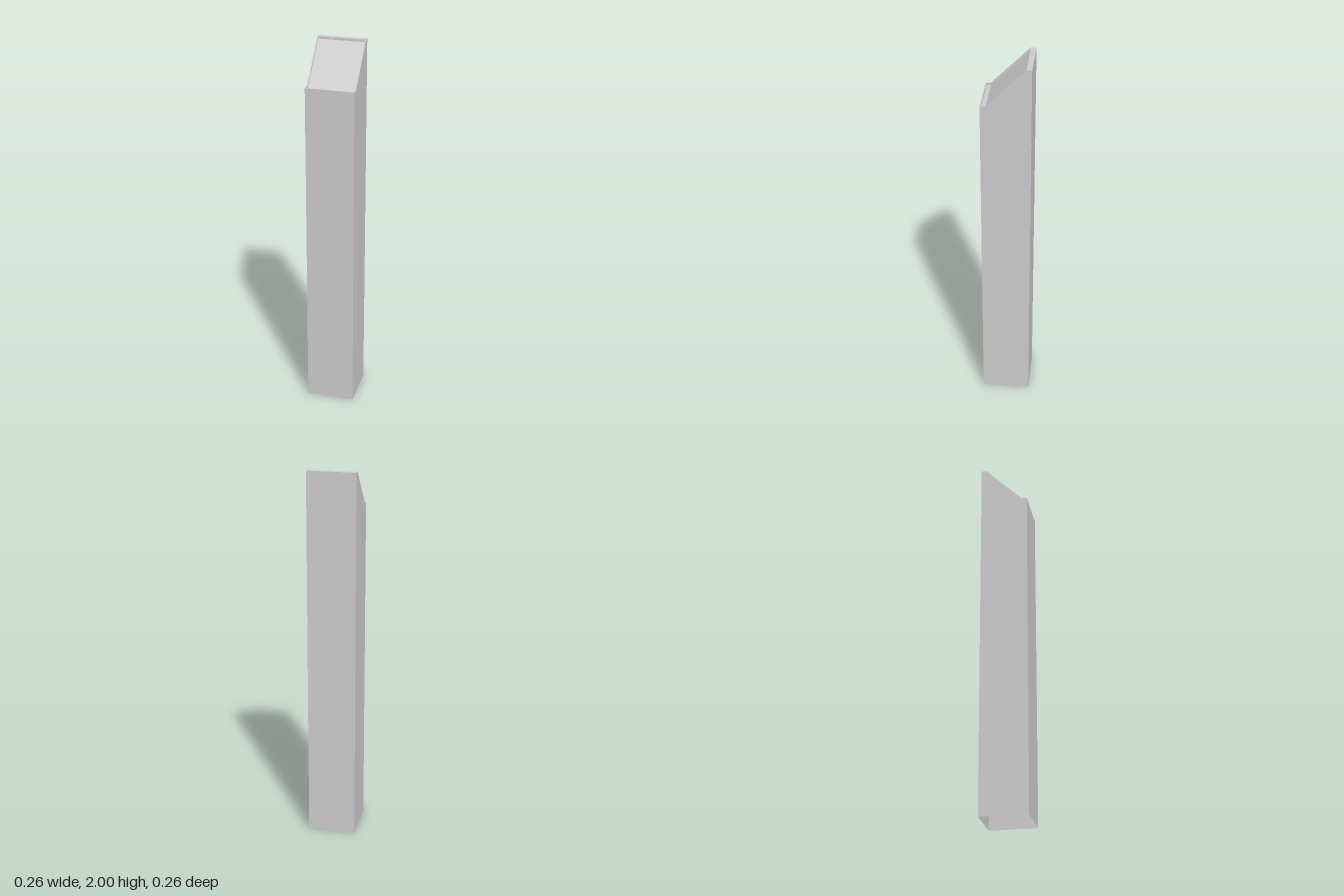
import * as THREE from 'three';

const material = new THREE.MeshStandardMaterial({ color: 0xcccccc, flatShading: true, side: THREE.DoubleSide });

const W = 0.128;      // half width and half depth of the post
const IN = 0.122;     // half width of the recess
const CUT = 0.1;      // the slope runs from z = CUT to z = -CUT
const LOW = 1.797;    // height at the front
const TOP = 2;        // height at the back
const DROP = 0.012;   // depth of the recess

// Folded sheet through [z, y] points, spanning x0..x1
function sheet(points, x0, x1) {
  const pos = [];
  for (let i = 0; i < points.length - 1; i++) {
    const [za, ya] = points[i];
    const [zb, yb] = points[i + 1];
    pos.push(x0, ya, za, x1, ya, za, x1, yb, zb);
    pos.push(x0, ya, za, x1, yb, zb, x0, yb, zb);
  }
  const g = new THREE.BufferGeometry();
  g.setAttribute('position', new THREE.Float32BufferAttribute(pos, 3));
  g.computeVertexNormals();
  return g;
}

// Flat side face from a [z, y] outline, placed at x
function sideFace(points, x) {
  const shape = new THREE.Shape(points.map(([z, y]) => new THREE.Vector2(-z, y)));
  return new THREE.ShapeGeometry(shape).rotateY(Math.PI / 2).translate(x, 0, 0);
}

export function createModel() {
  const group = new THREE.Group();
  const add = (name, geometry) => {
    const mesh = new THREE.Mesh(geometry, material);
    mesh.name = name;
    group.add(mesh);
  };

  // Hollow post, open at the bottom
  add('frontWall', sheet([[W, 0], [W, LOW], [IN, LOW]], -W, W));
  add('backWall', sheet([[-CUT, TOP], [-W, TOP], [-W, 0]], -W, W));

  // Sloped panel sunk slightly below the rim
  add('slopedPanel', sheet([
    [IN, LOW], [IN, LOW - DROP], [CUT, LOW - DROP], [-CUT, TOP - DROP], [-CUT, TOP],
  ], -IN, IN));

  // Side walls, narrow rims and the inner sides of the recess
  const outline = [[W, 0], [W, LOW], [CUT, LOW], [-CUT, TOP], [-W, TOP], [-W, 0]];
  const rim = [[IN, LOW], [CUT, LOW], [-CUT, TOP]];
  const lowered = rim.map(([z, y]) => [z, y - DROP]).reverse();
  for (const [side, s] of [['left', 1], ['right', -1]]) {
    add(side + 'Wall', sideFace(outline, s * W));
    add(side + 'Rim', sheet(rim, s > 0 ? IN : -W, s > 0 ? W : -IN));
    add(side + 'RecessSide', sideFace([...rim, ...lowered], s * IN));
  }
  return group;
}
